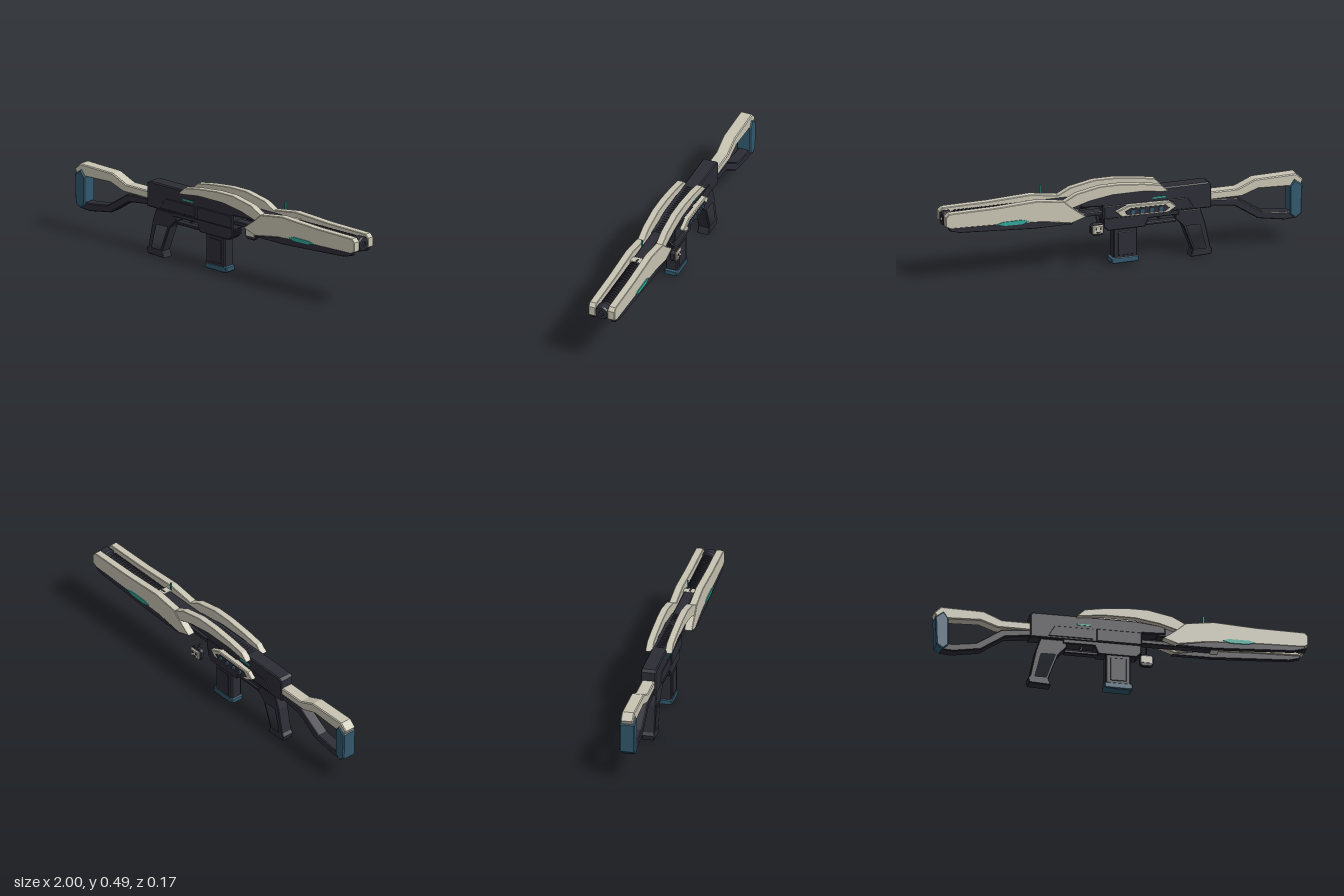
import * as THREE from 'three';

const MID = 0.007; // centre plane in z

export function createModel() {
  const mat = (name, color) => {
    const m = new THREE.MeshStandardMaterial({ color });
    m.name = name;
    return m;
  };
  const beige = mat('beige shell', 0xc9c5b4);
  const dark = mat('dark metal', 0x2c2c36);
  const teal = mat('blue teal', 0x32596e);
  const glow = mat('glow teal', 0x2fa898);

  const model = new THREE.Group();
  model.name = 'rifle';

  const add = (name, geo, material, parent = model) => {
    const m = new THREE.Mesh(geo, material);
    m.name = name;
    parent.add(m);
    return m;
  };
  // Side profile extruded from z0 to z1, with bevelled rims
  const slab = (name, material, pts, z0, z1, bevel = 0.004, hole = null) => {
    const shape = new THREE.Shape(pts.map(p => new THREE.Vector2(...p)));
    if (hole) shape.holes.push(new THREE.Path(hole.map(p => new THREE.Vector2(...p))));
    const geo = new THREE.ExtrudeGeometry(shape, {
      depth: z1 - z0 - 2 * bevel, bevelEnabled: bevel > 0, bevelThickness: bevel,
      bevelSize: bevel, bevelOffset: -bevel, bevelSegments: 1,
    });
    geo.translate(0, 0, z0 + bevel);
    return add(name, geo, material);
  };
  const rect = (x0, x1, y0, y1) => [[x0, y0], [x1, y0], [x1, y1], [x0, y1]];
  const centred = (name, material, pts, half, bevel, hole) =>
    slab(name, material, pts, MID - half, MID + half, bevel, hole);
  // Same slab on both sides, between two distances from the centre plane
  const pair = (name, material, pts, d0, d1, bevel) => {
    slab(name + 'Left', material, pts, MID + d0, MID + d1, bevel);
    slab(name + 'Right', material, pts, MID - d1, MID - d0, bevel);
  };

  // Stock: upper arm, lower arm and butt plate
  centred('stockUpperArm', beige, [
    [-1, 0.365], [-0.963, 0.4], [-0.733, 0.395], [-0.636, 0.353], [-0.48, 0.353],
    [-0.48, 0.31], [-0.66, 0.31], [-0.75, 0.342], [-0.93, 0.335], [-0.985, 0.335],
  ], 0.034, 0.005);
  centred('stockLowerArm', dark, [
    [-0.96, 0.155], [-0.9, 0.15], [-0.75, 0.175], [-0.62, 0.26], [-0.48, 0.278],
    [-0.48, 0.312], [-0.635, 0.3], [-0.775, 0.21], [-0.9, 0.192], [-0.96, 0.195],
  ], 0.032, 0.005);
  centred('buttPlate', teal, [
    [-0.99, 0.18], [-0.955, 0.155], [-0.925, 0.18], [-0.925, 0.335],
    [-0.95, 0.372], [-0.995, 0.338],
  ], 0.041, 0.006);

  // Receiver
  centred('receiver', dark, [
    [-0.487, 0.27], [0.115, 0.27], [0.115, 0.345], [0.24, 0.35], [0.24, 0.395],
    [0.08, 0.412], [-0.47, 0.412], [-0.487, 0.4],
  ], 0.041, 0.006);
  pair('receiverSidePanel', dark,
    [[-0.39, 0.283], [-0.355, 0.342], [-0.15, 0.342], [-0.15, 0.283]], 0.039, 0.046, 0.002);
  pair('receiverFrontPanel', dark, rect(-0.13, 0.11, 0.275, 0.345), 0.039, 0.047, 0.003);
  pair('receiverLight', glow, rect(-0.235, -0.16, 0.358, 0.366), 0.04, 0.044, 0);
  centred('lowerReceiver', dark, [
    [-0.31, 0.275], [-0.31, 0.25], [-0.14, 0.25], [-0.12, 0.205], [0.085, 0.205],
    [0.11, 0.23], [0.11, 0.275],
  ], 0.038, 0.004);
  for (let i = 0; i < 4; i++) {
    const rib = new THREE.BoxGeometry(0.01, 0.006, 0.056);
    rib.translate(0.111, 0.233 + i * 0.011, MID);
    add('frontRib' + i, rib, dark);
  }
  for (let i = 0; i < 24; i++) {
    const tooth = new THREE.BoxGeometry(0.01, 0.008, 0.04);
    tooth.translate(-0.2 + i * 0.0185, 0.411 - (i > 14 ? (i - 14) * 0.0016 : 0), MID);
    add('railTooth' + i, tooth, dark);
  }

  // Open grip, trigger and guard
  centred('grip', dark, [
    [-0.455, 0.195], [-0.43, 0.268], [-0.295, 0.268], [-0.288, 0.23], [-0.335, 0.18],
    [-0.387, 0.04], [-0.375, 0.003], [-0.49, 0.008], [-0.497, 0.035], [-0.485, 0.05],
  ], 0.033, 0.004, [[-0.43, 0.185], [-0.345, 0.185], [-0.396, 0.042], [-0.465, 0.042]]);
  centred('triggerGuard', dark, rect(-0.298, -0.12, 0.205, 0.22), 0.02, 0.003);
  centred('trigger', dark,
    [[-0.22, 0.26], [-0.195, 0.26], [-0.2, 0.245], [-0.203, 0.228], [-0.217, 0.228], [-0.208, 0.245]],
    0.008, 0.001);

  // Magazine with base
  centred('magazine', dark, rect(-0.08, 0.053, 0.04, 0.215), 0.033, 0.006);
  pair('magazineInset', dark, rect(-0.055, 0.03, 0.06, 0.19), 0.032, 0.036, 0.002);
  centred('magazineBase', teal, [
    [-0.088, 0.022], [-0.075, 0.016], [0.055, 0.014], [0.065, 0.022], [0.065, 0.044],
    [0.05, 0.05], [-0.075, 0.05], [-0.088, 0.044],
  ], 0.036, 0.005);

  // Arched upper covers and handguard shells
  pair('upperCover', beige, [
    [-0.24, 0.4], [-0.2, 0.438], [-0.1, 0.455], [0.03, 0.468], [0.14, 0.468], [0.27, 0.442],
    [0.36, 0.395], [0.3, 0.365], [0.2, 0.395], [0.07, 0.415], [-0.1, 0.415], [-0.2, 0.402],
  ], 0.034, 0.071, 0.002);
  pair('handguardShell', beige, [
    [0.22, 0.312], [0.3, 0.372], [0.34, 0.408], [0.49, 0.429], [0.72, 0.417], [0.98, 0.414],
    [0.998, 0.395], [0.998, 0.345], [0.975, 0.332], [0.72, 0.325], [0.46, 0.312], [0.3, 0.285],
  ], 0.034, 0.075, 0.003);
  pair('handguardStrip', dark, [
    [0.29, 0.279], [0.5, 0.278], [0.92, 0.303], [0.975, 0.318], [0.985, 0.342],
    [0.7, 0.335], [0.46, 0.315],
  ], 0.045, 0.073, 0.003);
  pair('handguardLight', glow,
    [[0.54, 0.326], [0.57, 0.337], [0.68, 0.337], [0.715, 0.328], [0.67, 0.316], [0.58, 0.314]],
    0.073, 0.08, 0);

  // Core between the shells
  centred('upperCore', dark, rect(0.2, 0.5, 0.34, 0.398), 0.03, 0.004);
  centred('lowerRail', dark, rect(0.1, 0.5, 0.293, 0.315), 0.026, 0.003);
  centred('crossBrace', beige, rect(0.49, 0.53, 0.293, 0.4), 0.036, 0.002);
  centred('frontSight', glow, rect(0.447, 0.455, 0.445, 0.489), 0.004, 0);

  // Ribbed barrel and muzzle, turned around the x axis
  const profile = [[0, 0.5], [0.03, 0.5]];
  for (let i = 0; i < 18; i++) {
    const x = 0.54 + i * 0.022;
    profile.push([0.03, x], [0.036, x], [0.036, x + 0.012], [0.03, x + 0.012]);
  }
  profile.push([0.03, 0.95], [0.04, 0.955], [0.04, 0.99], [0.034, 0.999], [0.015, 1], [0.015, 0.99], [0, 0.99]);
  const lathe = new THREE.LatheGeometry(profile.map(p => new THREE.Vector2(...p)), 20).toNonIndexed();
  lathe.computeVertexNormals();
  lathe.rotateZ(-Math.PI / 2);
  lathe.translate(0, 0.371, MID);
  add('barrel', lathe, dark);

  // Control pod on the right side
  slab('controlPod', beige, [
    [-0.285, 0.31], [-0.25, 0.34], [-0.02, 0.345], [0.05, 0.315], [0.02, 0.285], [-0.24, 0.282],
  ], -0.064, -0.03, 0.004);
  slab('controlPodInset', dark, [
    [-0.245, 0.308], [-0.225, 0.327], [-0.03, 0.33], [0.005, 0.313], [-0.01, 0.294], [-0.22, 0.292],
  ], -0.067, -0.06, 0);
  for (let i = 0; i < 4; i++) {
    const dot = new THREE.CylinderGeometry(0.012, 0.012, 0.012, 12);
    dot.rotateX(Math.PI / 2);
    dot.translate(-0.195 + i * 0.052, 0.311, -0.068);
    add('controlDot' + i, dot, teal);
  }

  // Hanging charm with a simple face
  slab('charmBody', dark, [
    [0.12, 0.215], [0.133, 0.2], [0.18, 0.2], [0.195, 0.215], [0.195, 0.255],
    [0.18, 0.268], [0.133, 0.268], [0.12, 0.255],
  ], -0.071, -0.045, 0.004);
  slab('charmFace', beige, rect(0.127, 0.188, 0.212, 0.26), -0.084, -0.07, 0.005);
  slab('charmBack', beige, rect(0.13, 0.185, 0.22, 0.256), -0.046, -0.042, 0);
  for (const x of [0.145, 0.17])
    slab('charmEye', dark, rect(x - 0.005, x + 0.005, 0.236, 0.248), -0.086, -0.083, 0);
  slab('charmMouth', dark, rect(0.147, 0.168, 0.221, 0.226), -0.086, -0.083, 0);
  const cord = new THREE.CatmullRomCurve3([
    new THREE.Vector3(0.157, 0.265, -0.058),
    new THREE.Vector3(0.155, 0.285, -0.045),
    new THREE.Vector3(0.15, 0.302, -0.015),
  ]);
  add('charmCord', new THREE.TubeGeometry(cord, 8, 0.004, 6), dark);

  return model;
}
